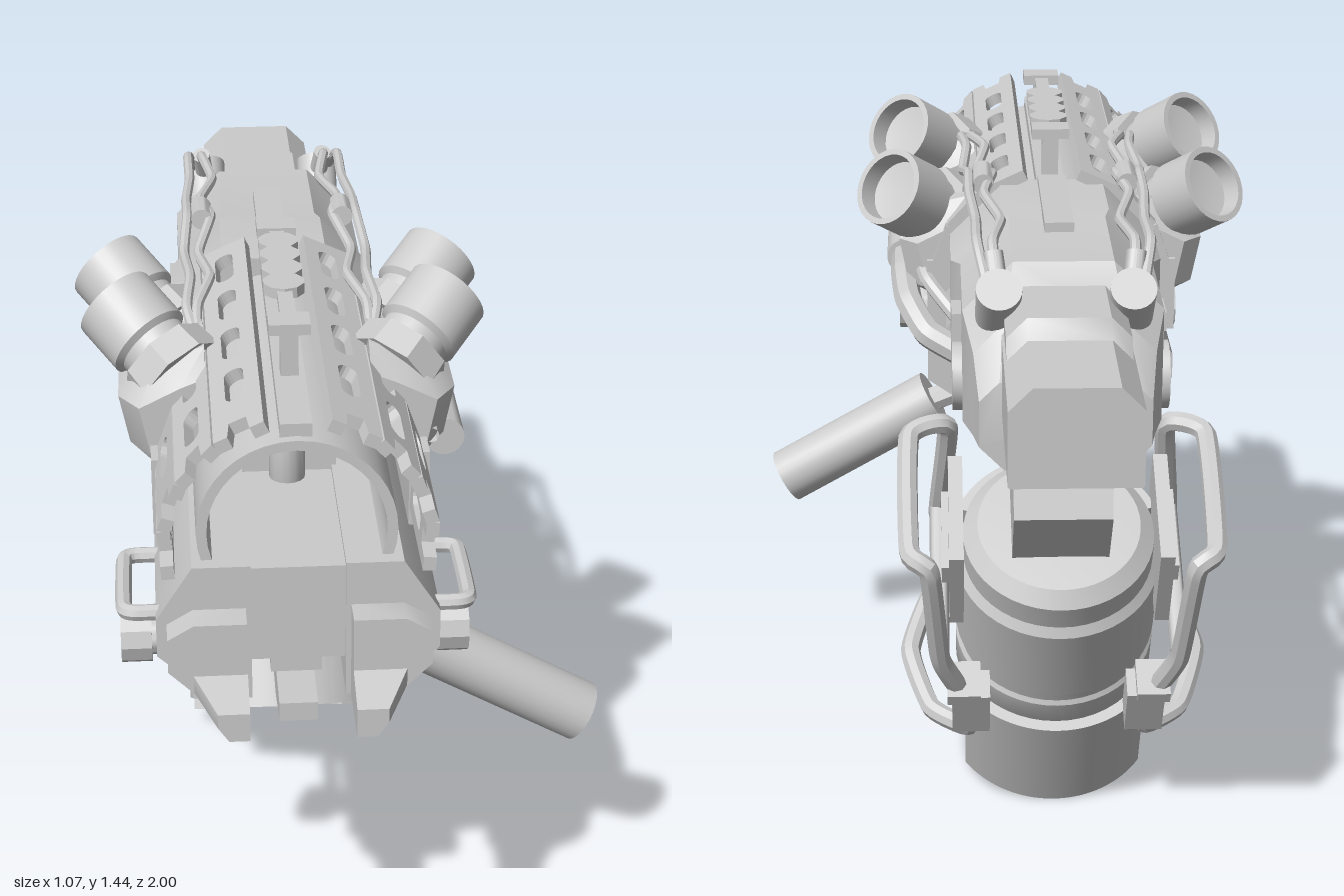
import * as THREE from 'three';
import { toCreasedNormals } from 'three/addons/utils/BufferGeometryUtils.js';

const V = (p) => new THREE.Vector3(...p);
const mat = new THREE.MeshStandardMaterial({ color: 0xcccccc, side: THREE.DoubleSide });

function add(parent, name, geo, pos = [0, 0, 0], rot = [0, 0, 0]) {
  const m = new THREE.Mesh(toCreasedNormals(geo, 0.6), mat);
  m.name = name;
  m.position.set(...pos);
  m.rotation.set(...rot);
  parent.add(m);
  return m;
}
const box = (w, h, d) => new THREE.BoxGeometry(w, h, d);
const cyl = (r, h, n = 24) => new THREE.CylinderGeometry(r, r, h, n);
const lathe = (pts, n = 40) => new THREE.LatheGeometry(pts.map((p) => new THREE.Vector2(...p)), n);
const tube = (pts, r, closed = false, n = 60) =>
  new THREE.TubeGeometry(new THREE.CatmullRomCurve3(pts.map(V), closed, 'catmullrom', 0.25), n, r, 8, closed);

// Rod between two points
function rod(parent, name, a, b, r) {
  const d = V(b).sub(V(a));
  const m = add(parent, name, cyl(r, d.length()), V(a).add(V(b)).multiplyScalar(0.5).toArray());
  m.quaternion.setFromUnitVectors(V([0, 1, 0]), d.normalize());
}

// Solid through cross-sections [z, [[x, y]...]], from front to back, corners counter-clockwise
function loft(sections) {
  const n = sections[0][1].length, pos = [], idx = [], last = (sections.length - 1) * n;
  for (const [z, pts] of sections) for (const [x, y] of pts) pos.push(x, y, z);
  for (let i = 0; i < last; i += n) for (let j = 0; j < n; j++) {
    const k = (j + 1) % n, a = i + j, b = i + k;
    idx.push(a, a + n, b + n, a, b + n, b);
  }
  for (let j = 1; j < n - 1; j++) idx.push(0, j, j + 1, last, last + j + 1, last + j);
  const g = new THREE.BufferGeometry();
  g.setAttribute('position', new THREE.Float32BufferAttribute(pos, 3));
  g.setIndex(idx);
  return g;
}
// Chamfered rectangle section
const oct = (z, w, y0, y1, t, b) => [z, [[w, y0 + b], [w, y1 - t], [w - t, y1], [t - w, y1],
  [-w, y1 - t], [-w, y0 + b], [b - w, y0], [w - b, y0]]];

// Side profile of [z, y] points given a width in x
function profile(pts, w) {
  const s = new THREE.Shape(pts.map((p) => new THREE.Vector2(...p)));
  return new THREE.ExtrudeGeometry(s, { depth: w, bevelEnabled: false }).translate(0, 0, -w / 2).rotateY(-Math.PI / 2);
}
// Curved plate standing along y, centred on angle mid (0 = front)
function arcPlate(r0, r1, mid, half, h) {
  const a = -Math.PI / 2 + mid, s = new THREE.Shape();
  s.absarc(0, 0, r1, a - half, a + half, false);
  s.absarc(0, 0, r0, a + half, a - half, true);
  return new THREE.ExtrudeGeometry(s, { depth: h, bevelEnabled: false, curveSegments: 20 }).rotateX(-Math.PI / 2);
}
// Flat shroud panel with a row of long slots and notched front
function slottedPanel(w, len, shift) {
  const s = new THREE.Shape([[-w / 2, 0], [w / 2, 0], [w / 2, len], [w * 0.22, len], [w * 0.17, len - 0.05],
    [-w * 0.17, len - 0.05], [-w * 0.22, len], [-w / 2, len]].map((p) => new THREE.Vector2(...p)));
  for (let i = 0; i < 4; i++) {
    const a = 0.07 + shift + i * 0.185, h = new THREE.Path(), r = 0.02;
    h.absarc(0, a + 0.09, r, 0, Math.PI, false);
    h.absarc(0, a, r, Math.PI, Math.PI * 2, false);
    s.holes.push(h);
  }
  return new THREE.ExtrudeGeometry(s, { depth: 0.025, bevelEnabled: false, curveSegments: 4 }).rotateX(Math.PI / 2).scale(1, -1, 1);
}

// Parts that appear on both sides, built for the +x side
function buildSide() {
  const g = new THREE.Group();
  // Slotted shroud
  const step = 0.4, R = 0.235;
  for (let i = 0; i < 4; i++) {
    const a = 0.43 + i * step;
    const m = add(g, 'shroudPanel', slottedPanel(2 * R * Math.tan(step / 2) + 0.006, 0.87, (i % 2) * 0.05),
      [Math.sin(a) * R, 1.115 + Math.cos(a) * R, 0], [0, 0, -a]);
    m.geometry.computeVertexNormals();
  }
  add(g, 'sidePanel', box(0.04, 0.16, 0.62), [0.25, 1.09, 0.31]);
  // Lower rail with pointed prong
  const rail = (z, lift) => [z, [[0.09, 0.77 + lift], [0.16, 0.77 + lift], [0.27, 0.87 + lift * 0.5],
    [0.27, 0.95], [0.2, 1.06], [0.09, 1.06]]];
  add(g, 'lowerRail', loft([rail(0.85, 0), rail(0.5, 0.01), rail(0, 0.05)]));
  add(g, 'railNose', loft([0.91, 0.84].map((z) => [z, [[0.1, 0.78], [0.16, 0.78], [0.25, 0.87], [0.25, 0.94], [0.2, 0.97], [0.1, 0.97]]])));
  add(g, 'prong', loft([[1, [[0.1, 0.77], [0.14, 0.77], [0.16, 0.8], [0.16, 0.83], [0.1, 0.83]]],
    [0.85, [[0.1, 0.77], [0.16, 0.77], [0.23, 0.84], [0.23, 0.88], [0.1, 0.88]]]]));
  // Side knob and grab bar
  add(g, 'knobShaft', cyl(0.04, 0.2), [0.22, 0.83, 0.7], [0, 0, Math.PI / 2]);
  add(g, 'knob', cyl(0.055, 0.06, 10), [0.31, 0.83, 0.7], [0, 0, Math.PI / 2]);
  add(g, 'grabBar', tube([[0.24, 0.945, 0.81], [0.31, 0.945, 0.81], [0.33, 0.945, 0.79], [0.33, 0.945, 0.61],
    [0.31, 0.945, 0.59], [0.24, 0.945, 0.59]], 0.016));
  // Two angled cups on mounts
  const axis = V([0.6, 0.5, -0.62]).normalize();
  for (const base of [[0.23, 1.29, 0.435], [0.25, 1.245, 0.135]]) {
    const s = new THREE.Group();
    s.name = 'lamp';
    s.position.set(...base);
    s.quaternion.setFromUnitVectors(V([0, 1, 0]), axis);
    add(s, 'lampCup', lathe([[0, -0.03], [0.068, -0.03], [0.072, 0.05], [0.085, 0.06], [0.085, 0.17], [0.072, 0.17], [0.068, 0.13], [0, 0.12]], 28));
    add(s, 'lampCollar', new THREE.CylinderGeometry(0.095, 0.1, 0.06, 8), [0, -0.01, 0]);
    g.add(s);
    const y = base[1] - 1.27, z = base[2];
    const sec = (dz, k) => [z + dz, [[0.15, 1.17], [0.25, 1.1 + y], [0.31 - k, 1.13 + y],
      [0.33 - k, 1.23 + y], [0.25 - k, 1.31 + y - k], [0.16, 1.33 + y - k]]];
    add(g, 'lampMount', loft([sec(0.12, 0.04), sec(0.06, 0), sec(-0.08, 0), sec(-0.12, 0.04)]));
  }
  // Rear post with cables running forward over the top
  rod(g, 'cablePost', [0.13, 1.19, -0.49], [0.13, 1.31, -0.61], 0.045);
  rod(g, 'cablePlug', [0.13, 1.29, -0.57], [0.14, 1.36, -0.53], 0.02);
  for (const k of [0, 1]) add(g, 'cable', tube([[0.13 + k * 0.02, 1.3, -0.59], [0.14 + k * 0.03, 1.37, -0.5], [0.12 + k * 0.05, 1.37, -0.35],
    [0.15 + k * 0.03, 1.38, -0.2], [0.13 + k * 0.05, 1.39, -0.08], [0.16 + k * 0.03, 1.36, 0.05],
    [0.14 + k * 0.04, 1.37, 0.2], [0.17 + k * 0.02, 1.36, 0.33], [0.17, 1.32, 0.42]], 0.011));
  rod(g, 'cableJoint', [0.15, 1.385, -0.15], [0.15, 1.39, -0.06], 0.022);
  // Receiver side details
  add(g, 'pivotDisc', cyl(0.07, 0.04, 32), [0.2, 1.055, -0.4], [0, 0, Math.PI / 2]);
  add(g, 'sideRib', box(0.03, 0.14, 0.04), [0.205, 1.1, -0.28]);
  add(g, 'sideRib', box(0.03, 0.04, 0.08), [0.205, 1.15, -0.31]);
  return g;
}

// Tube cage on the canister, +x side
function buildCage() {
  const g = new THREE.Group();
  add(g, 'cageTube', tube([[0.23, 0.74, 0.2], [0.31, 0.755, 0.16], [0.31, 0.755, -0.14], [0.27, 0.74, -0.18],
    [0.25, 0.48, -0.21], [0.21, 0.36, -0.21], [0.19, 0.22, -0.21], [0.27, 0.2, -0.15], [0.315, 0.2, 0],
    [0.27, 0.2, 0.15], [0.2, 0.23, 0.21], [0.19, 0.36, 0.23], [0.25, 0.45, 0.19]], 0.022, true, 140));
  rod(g, 'cageCrossBar', [0.25, 0.48, 0.19], [0.25, 0.48, -0.2], 0.02);
  add(g, 'cagePlate', box(0.03, 0.22, 0.27), [0.215, 0.61, 0]);
  add(g, 'cagePlateSlot', box(0.02, 0.05, 0.2), [0.235, 0.62, 0]);
  for (const z of [0.2, -0.2]) {
    add(g, 'bracket', box(0.08, 0.13, 0.07), [0.185, 0.3, z]);
    add(g, 'bracketStrap', box(0.07, 0.03, 0.09), [0.2, 0.37, z]);
  }
  return g;
}

function mirrored(parent, name, build) {
  for (const s of [1, -1]) {
    const g = build();
    g.name = (s > 0 ? 'left' : 'right') + name;
    g.scale.x = s;
    parent.add(g);
  }
}

export function createModel() {
  const root = new THREE.Group();
  root.name = 'model';
  const g = new THREE.Group();
  g.name = 'launcher';
  g.position.x = -0.12;
  root.add(g);
  mirrored(g, 'SideParts', buildSide);

  // Receiver and stock
  add(g, 'receiver', loft([oct(0.04, 0.22, 0.91, 1.34, 0.11, 0.06), oct(-0.18, 0.22, 0.91, 1.34, 0.11, 0.06),
    oct(-0.22, 0.2, 0.945, 1.335, 0.1, 0.05), oct(-0.5, 0.2, 0.945, 1.33, 0.1, 0.05),
    oct(-0.58, 0.18, 0.945, 1.23, 0.06, 0.05), oct(-0.64, 0.17, 0.945, 1.13, 0.04, 0.05)]));
  add(g, 'stock', loft([oct(-0.5, 0.125, 1.06, 1.255, 0.045, 0.004), oct(-1, 0.125, 1.06, 1.255, 0.045, 0.004)]));
  add(g, 'stockCollar', loft([oct(-0.5, 0.12, 1.1, 1.29, 0.04, 0.01), oct(-0.72, 0.12, 1.1, 1.29, 0.04, 0.01), oct(-0.75, 0.12, 1.1, 1.255, 0.04, 0.01)]));

  // Barrel and inner core
  add(g, 'barrel', lathe([[0.17, 0], [0.19, 0], [0.19, 0.8], [0.17, 0.8], [0.17, 0]]).rotateX(Math.PI / 2), [0, 1.115, 0.02]);
  add(g, 'barrelFloor', box(0.33, 0.02, 0.7), [0, 1.03, 0.42]);
  add(g, 'coreHousing', loft([oct(0.45, 0.1, 1.03, 1.22, 0.05, 0.01), oct(0.05, 0.1, 1.03, 1.22, 0.05, 0.01)]));
  add(g, 'core', new THREE.CapsuleGeometry(0.036, 0.14, 6, 16), [0, 1.11, 0.47]);
  add(g, 'channelBlock', box(0.2, 0.2, 0.84), [0, 0.95, 0.42]);
  add(g, 'keel', box(0.1, 0.12, 0.72), [0, 0.83, 0.4]);

  // Top spine and raised sight bar
  add(g, 'spine', box(0.06, 0.04, 0.8), [0, 1.31, 0.4]);
  add(g, 'receiverSpine', box(0.06, 0.02, 0.35), [0, 1.345, -0.15]);
  add(g, 'sightBar', box(0.03, 0.015, 0.54), [0, 1.43, 0.34]);
  for (let i = 0; i < 4; i++) add(g, 'sightLobe', cyl(0.042, 0.022, 10), [0, 1.432, 0.19 + i * 0.07]);
  for (const z of [0.58, 0.1]) {
    add(g, 'sightPost', box(0.035, 0.13, 0.03), [0, 1.37, z]);
    add(g, 'sightEnd', box(0.08, 0.022, 0.06), [0, 1.432, z]);
  }

  // Feed cylinder and hose on the left side only
  rod(g, 'feedCylinder', [0.32, 1.11, 0.44], [0.32, 1.11, 0.22], 0.04);
  add(g, 'feedHose', tube([[0.32, 1.11, 0.24], [0.32, 1.11, 0.1], [0.31, 1.08, 0], [0.27, 1.03, -0.07], [0.19, 0.99, -0.1]], 0.03));
  add(g, 'feedPipe', tube([[0.28, 1.17, 0.55], [0.29, 1.17, 0.15], [0.27, 1.13, 0], [0.2, 1.06, -0.08]], 0.016));

  // Underslung arm and slanted side handle
  add(g, 'underArm', profile([[0.83, 0.74], [0.83, 0.7], [0.68, 0.665], [0.3, 0.685], [0.18, 0.7], [0.13, 0.77],
    [0.02, 0.8], [0.02, 0.83], [0.7, 0.79], [0.65, 0.74]], 0.075));
  add(g, 'handleArm', tube([[0.02, 0.72, 0.48], [0.14, 0.71, 0.48], [0.27, 0.66, 0.48]], 0.03));
  add(g, 'handleArmPipe', tube([[0.05, 0.72, 0.4], [0.07, 0.7, 0.25], [0.07, 0.73, 0.17], [0.07, 0.8, 0.14]], 0.022));
  rod(g, 'handle', [0.26, 0.67, 0.48], [0.62, 0.465, 0.48], 0.065);

  // Neck and tilted canister
  add(g, 'neck', profile([[-0.24, 0.96], [-0.55, 0.96], [-0.6, 0.82], [-0.48, 0.66], [-0.36, 0.66], [-0.3, 0.85]], 0.2));
  const c = new THREE.Group();
  c.name = 'canister';
  c.position.set(0, 0.155, -0.11);
  c.rotation.x = -0.5;
  g.add(c);
  add(c, 'canisterBody', lathe([[0, 0.08], [0.15, 0.08], [0.165, 0], [0.205, 0], [0.205, 0.2], [0.215, 0.22], [0.215, 0.3], [0.208, 0.31],
    [0.208, 0.33], [0.215, 0.34], [0.215, 0.55], [0.2, 0.57], [0.2, 0.63], [0.17, 0.66], [0, 0.67]], 48));
  add(c, 'frontLip', arcPlate(0.2, 0.255, 0, 0.75, 0.14), [0, -0.01, 0]);
  add(c, 'rearGuard', arcPlate(0.2, 0.24, Math.PI, 0.95, 0.28), [0, -0.04, 0]);
  add(c, 'rimBand', arcPlate(0.195, 0.225, 0, 1.2, 0.05), [0, 0.56, 0]);
  for (const s of [1, -1]) add(c, 'frontTab', arcPlate(0.2, 0.235, s * 0.68, 0.22, 0.22), [0, 0.2, 0]);
  mirrored(c, 'Cage', buildCage);
  return root;
}
